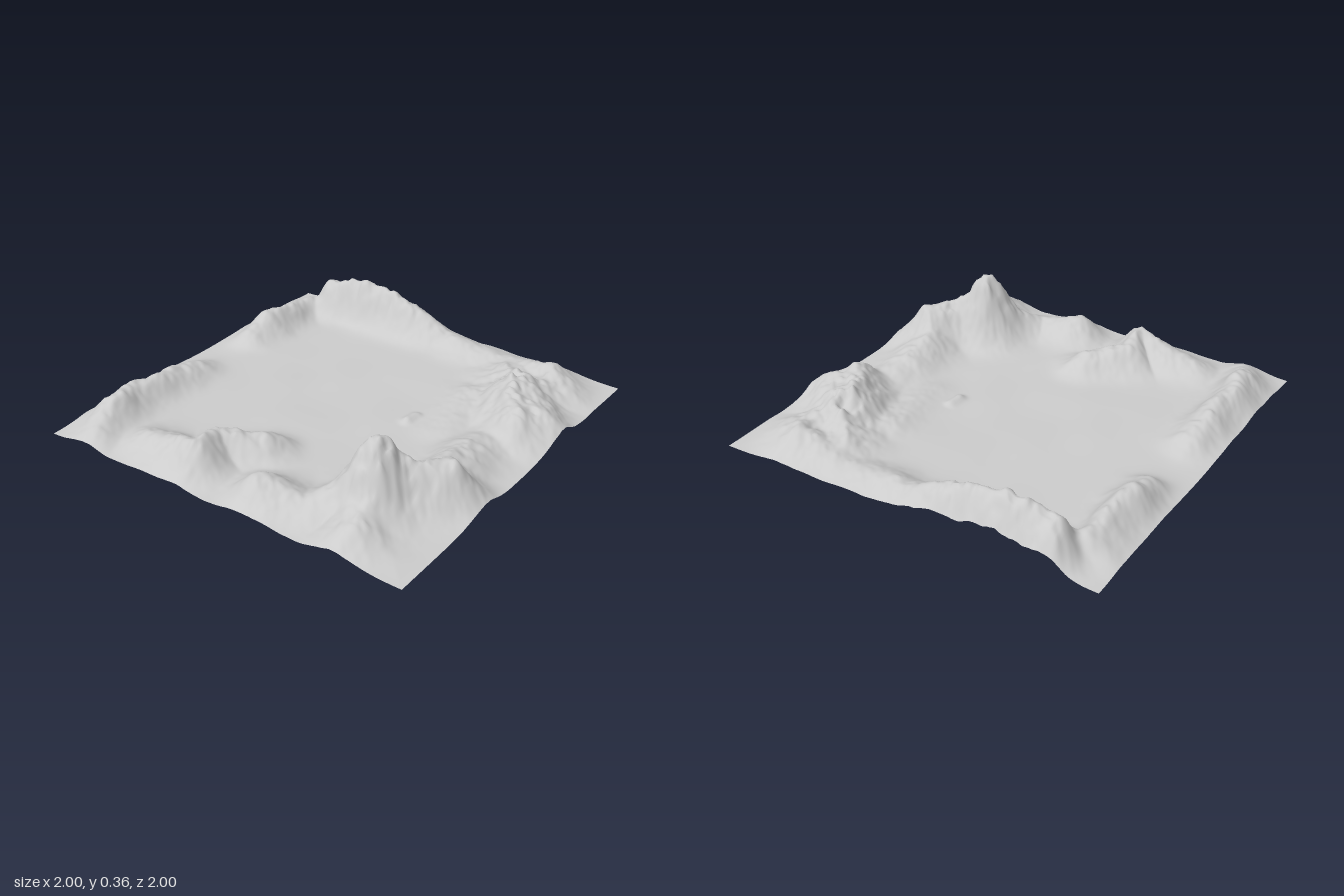
import * as THREE from 'three';

const { clamp, lerp, smoothstep } = THREE.MathUtils;

// Mountain chains: falloff width and crest points [x, z, height]
const CHAINS = [
  // south-west summit, its spur and its shoulder
  { width: 0.16, crest: [[-0.6, 0.6, 0.355]] },
  { width: 0.14, crest: [[-0.54, 0.68, 0.22], [-0.37, 0.82, 0.22]] },
  { width: 0.135, crest: [[-0.84, 0.66, 0.12], [-0.64, 0.61, 0.17], [-0.8, 0.37, 0.07], [-0.83, 0.17, 0.125]] },
  // west side, with a spur into the basin
  { width: 0.115, crest: [[-0.8, -0.55, 0.08], [-0.84, -0.21, 0.165], [-0.69, -0.24, 0.155], [-0.55, -0.07, 0.115]] },
  // north side, with a gap in the middle
  { width: 0.105, crest: [[-0.9, -0.79, 0.07], [-0.73, -0.86, 0.14], [-0.38, -0.85, 0.12], [-0.16, -0.84, 0.08]] },
  { width: 0.1, crest: [[0.3, -0.85, 0.08], [0.43, -0.85, 0.135], [0.78, -0.84, 0.1]] },
  // east side
  { width: 0.113, crest: [[0.9, -0.73, 0.205], [0.91, -0.52, 0.23], [0.9, -0.2, 0.185], [0.89, 0.02, 0.08], [0.87, 0.4, 0.05], [0.84, 0.7, 0.115]] },
  // rugged south-east massif
  { width: 0.135, crest: [[0.72, 0.5, 0.09], [0.62, 0.6, 0.13], [0.5, 0.63, 0.155], [0.26, 0.8, 0.155]] },
  { width: 0.135, crest: [[0.76, 0.76, 0.09], [0.6, 0.68, 0.12], [0.36, 0.88, 0.125]] },
  // low south side and the apron before the massif
  { width: 0.13, crest: [[-0.27, 0.74, 0.13], [-0.04, 0.73, 0.1], [0.13, 0.74, 0.05]] },
  { width: 0.12, crest: [[0.1, 0.5, 0.025], [0.45, 0.46, 0.05]] },
  // small outcrop on the basin floor
  { width: 0.03, crest: [[0.08, 0.32, 0.03], [0.14, 0.33, 0.025]] },
];

// Repeatable value noise in -1..1
function hash(i, j) {
  const s = Math.sin(i * 127.1 + j * 311.7) * 43758.5453;
  return (s - Math.floor(s)) * 2 - 1;
}
function noise(x, z) {
  const i = Math.floor(x), j = Math.floor(z);
  const u = smoothstep(x - i, 0, 1), v = smoothstep(z - j, 0, 1);
  return lerp(lerp(hash(i, j), hash(i + 1, j), u), lerp(hash(i, j + 1), hash(i + 1, j + 1), u), v);
}

// Height of one chain: rounded falloff from its highest nearby crest segment
function chainHeight({ width, crest }, x, z) {
  let height = 0;
  crest.forEach(([x1, z1, h1], i) => {
    const [x2, z2, h2] = crest[i + 1] ?? crest[i];
    const dx = x2 - x1, dz = z2 - z1;
    const t = clamp(((x - x1) * dx + (z - z1) * dz) / (dx * dx + dz * dz || 1), 0, 1);
    const d = Math.hypot(x - x1 - t * dx, z - z1 - t * dz) / width;
    height = Math.max(height, lerp(h1, h2, t) * Math.exp(-d * d));
  });
  return height;
}

function terrainHeight(x, z) {
  // Bend the ground slightly so that the ridges meander
  const wx = x + 0.015 * noise(x * 7 + 3, z * 7);
  const wz = z + 0.015 * noise(x * 7, z * 7 + 11);
  // Blend the chains smoothly where they meet
  let sum = 0;
  for (const chain of CHAINS) sum += chainHeight(chain, wx, wz) ** 4;
  const h = sum ** 0.25;
  // Rock relief grows with height and is strongest in the south-east
  const rugged = 1 + Math.exp(-((x - 0.55) ** 2 + (z - 0.62) ** 2) / 0.08);
  const rock = 0.07 * noise(x * 10, z * 10) + 0.06 * noise(x * 22, z * 22) + 0.04 * noise(x * 45, z * 45);
  // Basin floor, thinning out to nothing along the border
  const rim = 1 - Math.max(Math.abs(x), Math.abs(z));
  const floor = (0.011 + 0.004 * noise(x * 4, z * 5)) * smoothstep(rim, 0, 0.25);
  return h * (1 + rugged * rock) + floor * Math.exp(-h * 20);
}

export function createModel() {
  const group = new THREE.Group();
  group.name = 'landscape';

  // One open sheet, raised into mountains around a flat basin
  const geometry = new THREE.PlaneGeometry(2, 2, 180, 180).rotateX(-Math.PI / 2);
  const p = geometry.attributes.position;
  for (let i = 0; i < p.count; i++) p.setY(i, terrainHeight(p.getX(i), p.getZ(i)));
  geometry.computeVertexNormals();

  const terrain = new THREE.Mesh(
    geometry,
    new THREE.MeshStandardMaterial({ color: 0xcccccc, side: THREE.DoubleSide }),
  );
  terrain.name = 'mountainTerrain';
  group.add(terrain);
  return group;
}
